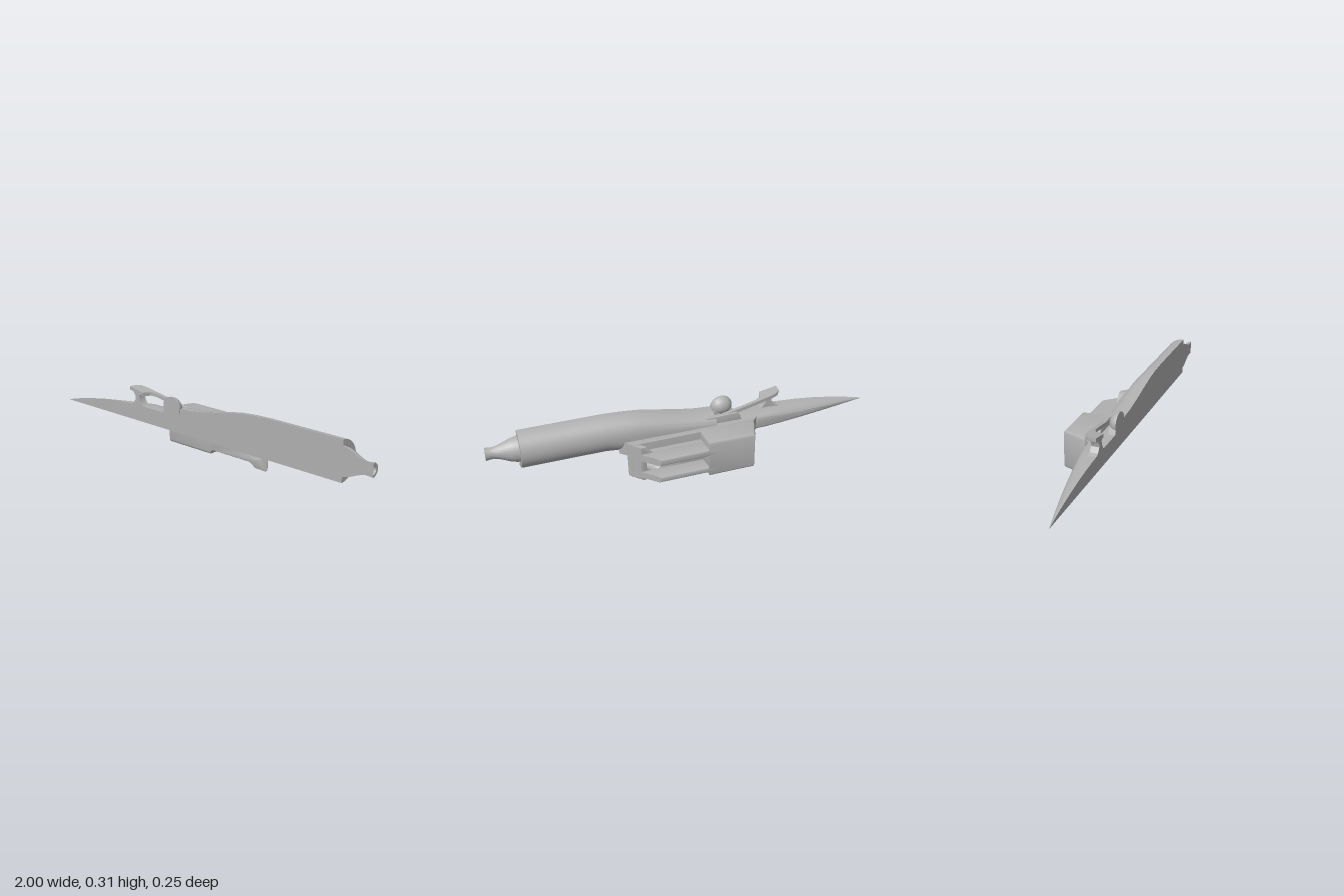
import * as THREE from 'three';
import { toCreasedNormals } from 'three/addons/utils/BufferGeometryUtils.js';

const CUT = 0.125; // flat plane on which the half hull ends

// Closed half-hull loft along x. Section: [x, bottom, top, halfWidth, midline 0..1, topPower, bottomPower]
function loft(sections, n = 28) {
  const pos = [], idx = [];
  for (const [x, bottom, top, w, mid = 0.5, pt = 2, pb = 2] of sections) {
    const cy = bottom + (top - bottom) * mid;
    for (let j = 0; j <= n; j++) {
      const a = Math.PI / 2 - (j / n) * Math.PI;
      const p = a >= 0 ? pt : pb;
      const c = Math.max(0, Math.cos(a)), s = Math.abs(Math.sin(a));
      const h = a >= 0 ? top - cy : bottom - cy;
      pos.push(x, cy + h * s ** (2 / p), CUT - w * c ** (2 / p));
    }
  }
  const m = n + 1, last = (sections.length - 1) * m;
  for (let i = 0; i < sections.length - 1; i++) {
    for (let j = 0; j < m; j++) {
      const a = i * m + j, b = i * m + (j + 1) % m;
      idx.push(a, a + m, b, b, a + m, b + m);
    }
  }
  for (let j = 1; j < n; j++) {
    idx.push(0, j, j + 1, last, last + j + 1, last + j);
  }
  const g = new THREE.BufferGeometry();
  g.setAttribute('position', new THREE.Float32BufferAttribute(pos, 3));
  g.setIndex(idx);
  return toCreasedNormals(g, 0.55);
}

function extrude(points, from, to, bevel, hole) {
  const shape = new THREE.Shape(points.map(([a, b]) => new THREE.Vector2(a, b)));
  if (hole) {
    const path = new THREE.Path();
    path.absellipse(...hole, 0, Math.PI * 2, true);
    shape.holes.push(path);
  }
  const g = new THREE.ExtrudeGeometry(shape, {
    depth: to - from - 2 * bevel, bevelEnabled: bevel > 0, bevelSize: bevel,
    bevelThickness: bevel, bevelOffset: -bevel, bevelSegments: 3, curveSegments: 24,
  });
  return g.translate(0, 0, from + bevel);
}

// Outline in x,z raised from y0 to y1
const plan = (points, y0, y1, bevel) =>
  extrude(points.map(([x, z]) => [x, -z]), y0, y1, bevel).rotateX(-Math.PI / 2);

function moveVertices(g, rule) {
  const p = g.attributes.position, v = new THREE.Vector3();
  for (let i = 0; i < p.count; i++) {
    rule(v.fromBufferAttribute(p, i));
    p.setXYZ(i, v.x, v.y, v.z);
  }
  return g;
}

// Sweeps the rear of the pod forward toward its outer side
const sweep = (g) => moveVertices(g, (v) => {
  if (v.x > 0.05) v.x = 0.05 + (v.x - 0.05) * (1 - 0.45 * (0.015 - v.z) / 0.14);
});

export function createModel() {
  const model = new THREE.Group();
  const grey = new THREE.MeshStandardMaterial({ color: 0xb0b0b0 });
  grey.name = 'grey';
  const add = (name, g, crease = 0.6) => {
    const mesh = new THREE.Mesh(crease ? toCreasedNormals(g, crease) : g, grey);
    mesh.name = name;
    model.add(mesh);
    return mesh;
  };

  // Hull: pointed nose, flat cockpit floor, rounded engine tube
  add('hull', loft([
    [-1, 0.118, 0.12, 0.002, 0.5, 1.4, 8],
    [-0.9, 0.118, 0.145, 0.022, 0.5, 1.4, 8],
    [-0.8, 0.118, 0.165, 0.042, 0.5, 1.4, 8],
    [-0.7, 0.118, 0.181, 0.06, 0.5, 1.5, 8],
    [-0.6, 0.118, 0.192, 0.077, 0.5, 1.7, 8],
    [-0.5, 0.118, 0.199, 0.091, 0.5, 2.4, 8],
    [-0.4, 0.118, 0.201, 0.102, 0.5, 4, 8],
    [-0.13, 0.118, 0.201, 0.105, 0.5, 4, 8],
    [-0.13, 0.118, 0.244, 0.105, 0.5, 2.6, 8],
    [-0.05, 0.118, 0.249, 0.105, 0.5, 2.6, 8],
    [0.05, 0.118, 0.264, 0.104, 0.5, 2.5, 8],
    [0.15, 0.118, 0.284, 0.103, 0.5, 2.4, 7],
    [0.25, 0.118, 0.302, 0.102, 0.5, 2.3, 4],
    [0.34, 0.118, 0.311, 0.1, 0.5, 2.1, 2.5],
    [0.43, 0.119, 0.315, 0.098],
    [0.845, 0.119, 0.315, 0.098],
    [0.845, 0.147, 0.287, 0.07],
    [0.825, 0.147, 0.287, 0.07],
  ]), 0);

  // Exhaust cone with a hollow tip
  const cy = 0.217;
  add('exhaustCone', loft([
    [0.825, 0.069], [0.855, 0.067], [0.885, 0.059], [0.915, 0.046], [0.94, 0.036],
    [0.96, 0.031], [0.98, 0.031], [1, 0.034], [1, 0.022], [0.97, 0.018],
  ].map(([x, r]) => [x, cy - r, cy + r, r])), 0);

  // Windscreen frame: sloping half U around the cockpit
  const frame = plan([
    [-0.495, CUT], [-0.49, 0.085], [-0.475, 0.065], [-0.44, 0.055], [-0.3, 0.045], [-0.1, 0.036],
    [-0.1, 0.056], [-0.3, 0.064], [-0.36, 0.069], [-0.385, 0.083], [-0.4, CUT],
  ], -0.009, 0.009, 0);
  add('windscreenFrame', moveVertices(frame, (v) => {
    v.y += 0.237 - 0.185 * (v.x + 0.25);
  }));

  // Windscreen post
  add('windscreenPost', extrude([
    [-0.5, 0.195], [-0.47, 0.206], [-0.453, 0.23], [-0.455, 0.25], [-0.475, 0.275],
    [-0.41, 0.267], [-0.425, 0.25], [-0.422, 0.23], [-0.405, 0.206], [-0.385, 0.195],
  ], 0.085, CUT, 0));

  // Cockpit side wall carrying the frame
  add('cockpitWall', extrude([
    [-0.27, 0.19], [-0.26, 0.215], [-0.245, 0.236], [-0.08, 0.232], [-0.08, 0.19],
  ], 0.034, 0.056, 0.004));

  // Half dome behind the cockpit, with its neck
  add('dome', loft(Array.from({ length: 17 }, (_, i) => {
    const c = -Math.cos(Math.PI * i / 16), r = Math.sqrt(1 - c * c);
    return [-0.19 + c * 0.058, 0.24 - 0.045 * r, 0.24 + 0.053 * r, 0.047 * r, 0.46];
  })), 0);
  add('domeNeck', extrude([
    [-0.255, 0.195], [-0.24, 0.23], [-0.14, 0.23], [-0.125, 0.195],
  ], 0.09, CUT, 0));

  // Side pod: solid front block
  add('podBlock', plan([
    [-0.325, 0.01], [-0.315, -0.025], [-0.275, -0.125], [-0.035, -0.125], [-0.03, 0.01],
  ], 0.002, 0.195, 0.012));

  // Mounting between pod and hull
  add('podMount', plan([
    [-0.37, 0.05], [-0.32, 0], [0.32, 0], [0.37, 0.05],
  ], 0.121, 0.192, 0));

  // Rear plates with the through hole and a foot
  const foot = [[0.23, 0.026], [0.265, 0.004], [0.33, 0.002], [0.345, 0.012]];
  const hole = [0.265, 0.085, 0.046, 0.034];
  add('podSpine', sweep(extrude([
    [-0.06, 0.01], [-0.01, 0.026], ...foot, [0.35, 0.195], [-0.06, 0.195],
  ], -0.012, 0.01, 0.004, hole)));
  add('podWeb', sweep(extrude([
    [-0.06, 0.01], [-0.01, 0.026], ...foot, [0.35, 0.192], [0.31, 0.192], [0.27, 0.152], [-0.06, 0.152],
  ], -0.047, -0.008, 0.004, hole)));

  // Upper and lower arms reaching out from the plates
  for (const [name, y0, y1] of [['upperArm', 0.117, 0.154], ['lowerArm', 0.022, 0.054]]) {
    add(name, sweep(extrude([
      [-0.08, y0], [0.35, y0], [0.35, y1], [-0.08, y1],
    ], -0.125, -0.035, 0.01)));
  }

  return model;
}
